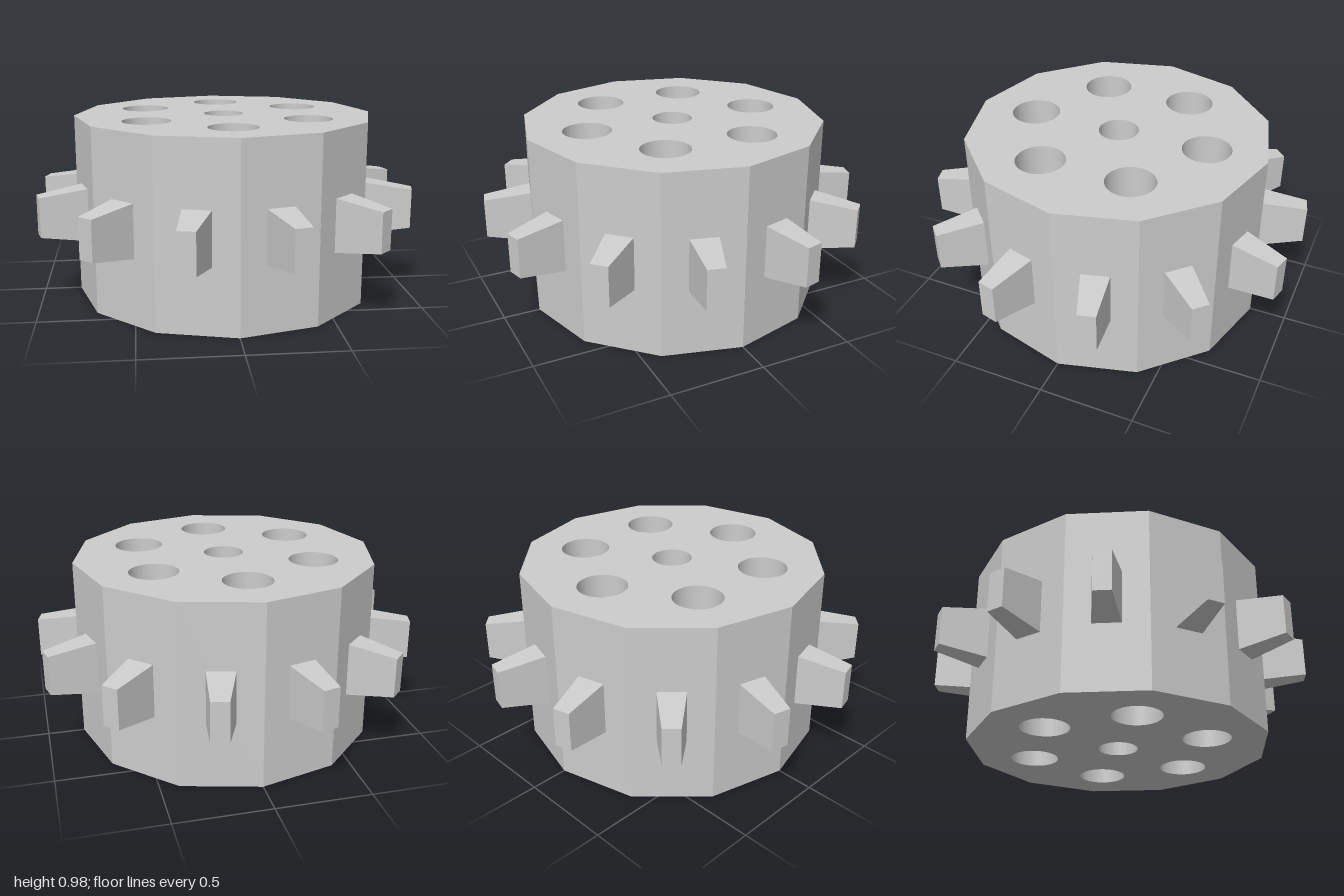
import * as THREE from 'three';
import { toCreasedNormals } from 'three/addons/utils/BufferGeometryUtils.js';

const SIDES = 12, RADIUS = 0.805, HEIGHT = 0.975;
const APOTHEM = RADIUS * Math.cos(Math.PI / SIDES);

function addHole(shape, x, y, r) {
  const hole = new THREE.Path();
  hole.absarc(x, y, r, 0, Math.PI * 2, true);
  shape.holes.push(hole);
}

// Twelve-sided drum with a centre bore and a ring of six through holes
function bodyGeometry() {
  const corners = [];
  for (let i = 0; i < SIDES; i++) {
    const a = (i / SIDES) * Math.PI * 2;
    corners.push(new THREE.Vector2(Math.cos(a) * RADIUS, Math.sin(a) * RADIUS));
  }
  const shape = new THREE.Shape(corners);
  addHole(shape, 0, 0, 0.105);
  for (let i = 0; i < 6; i++) {
    const a = Math.PI / 6 + (i * Math.PI) / 3;
    addHole(shape, Math.cos(a) * 0.487, Math.sin(a) * 0.487, 0.128);
  }
  const geo = new THREE.ExtrudeGeometry(shape, { depth: HEIGHT, bevelEnabled: false, curveSegments: 48 });
  geo.rotateX(-Math.PI / 2);
  // Round hole walls stay smooth, the drum's facets stay sharp
  return toCreasedNormals(geo, 0.35);
}

// Tapered tooth pointing along +x, wide at the drum and narrow at the tip
function toothGeometry() {
  const inner = APOTHEM - 0.002, outer = 1.023;
  const geo = new THREE.BoxGeometry(outer - inner, 0.28, 0.146);
  geo.translate((inner + outer) / 2, 0, 0);
  const p = geo.attributes.position;
  for (let i = 0; i < p.count; i++) {
    if (p.getX(i) > 0.9) {
      p.setY(i, p.getY(i) * 0.75);
      p.setZ(i, p.getZ(i) * 0.62);
    }
  }
  const flat = geo.toNonIndexed();
  flat.computeVertexNormals();
  return flat;
}

export function createModel() {
  const group = new THREE.Group();
  group.name = 'toothedDrum';
  const grey = new THREE.MeshStandardMaterial({ color: 0xcccccc });
  grey.name = 'light grey';

  const body = new THREE.Mesh(bodyGeometry(), grey);
  body.name = 'drum';
  group.add(body);

  // One tooth in the middle of each facet
  const teeth = new THREE.Group();
  teeth.name = 'teeth';
  const tooth = toothGeometry();
  for (let i = 0; i < SIDES; i++) {
    const mesh = new THREE.Mesh(tooth, grey);
    mesh.name = 'tooth' + (i + 1);
    mesh.position.y = 0.49;
    mesh.rotation.y = ((i + 0.5) / SIDES) * Math.PI * 2;
    teeth.add(mesh);
  }
  group.add(teeth);
  return group;
}
